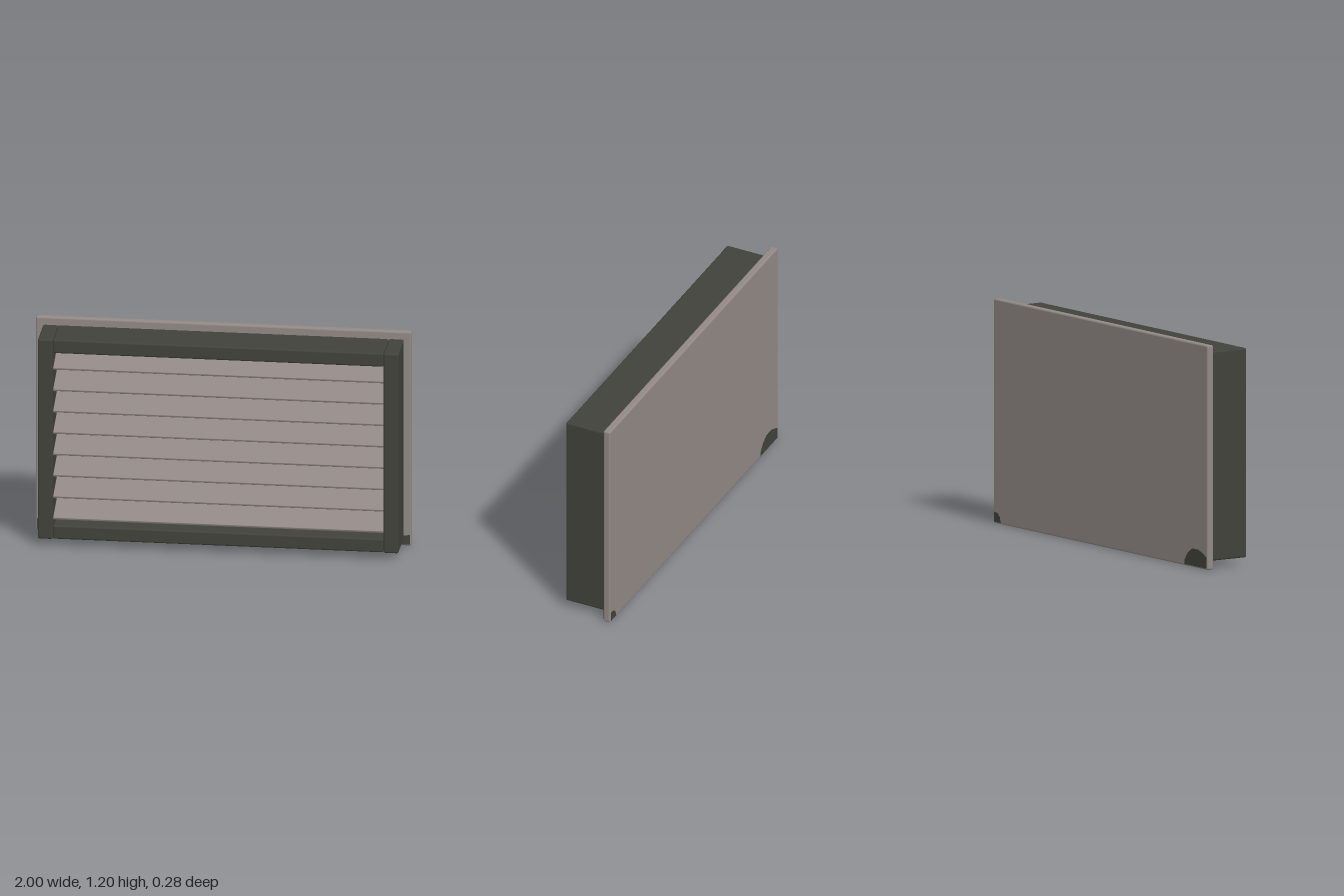
import * as THREE from 'three';
import { RoundedBoxGeometry } from 'three/addons/geometries/RoundedBoxGeometry.js';

export function createModel() {
  const model = new THREE.Group();
  model.name = 'louvredVent';

  const paleMetal = new THREE.MeshStandardMaterial({ color: 0x928985 });
  paleMetal.name = 'paleMetal';
  const darkMetal = new THREE.MeshStandardMaterial({ color: 0x42423b });
  darkMetal.name = 'darkMetal';
  const darkPatch = new THREE.MeshStandardMaterial({ color: 0x42423b, side: THREE.DoubleSide });
  darkPatch.name = 'darkPatch';

  function block(name, size, position, material, radius = 0.01) {
    const mesh = new THREE.Mesh(new RoundedBoxGeometry(...size, 2, radius), material);
    mesh.name = name;
    mesh.position.set(...position);
    model.add(mesh);
    return mesh;
  }

  // Wall plate
  block('backPlate', [2, 1.2, 0.04], [0, 0.6, -0.12], paleMetal);

  // Deep frame: two full-height stiles with rails between them
  for (const side of [-1, 1]) {
    block(side > 0 ? 'leftStile' : 'rightStile', [0.08, 1.12, 0.24], [side * 0.92, 0.6, 0.02], darkMetal);
  }
  block('topRail', [1.76, 0.076, 0.238], [0, 1.122, 0.02], darkMetal);
  block('bottomRail', [1.76, 0.076, 0.238], [0, 0.08, 0.02], darkMetal);

  // Dark sheet seen between the slats
  block('innerPanel', [1.76, 0.95, 0.012], [0, 0.622, -0.094], darkMetal, 0.002);

  // Slats, sloping down towards the front
  for (let i = 0; i < 8; i++) {
    const slat = block('slat', [1.76, 0.013, 0.18], [0, 0.18 + i * 0.12, 0.035], paleMetal, 0.003);
    slat.rotation.x = 0.33;
  }

  // Worn patches in the lower corners, on both faces of the plate
  const wideWear = new THREE.Shape([[-0.992, 0.008], [-0.785, 0.008], [-0.79, 0.035], [-0.82, 0.075],
    [-0.86, 0.1], [-0.92, 0.1], [-0.97, 0.08], [-0.992, 0.068]].map(p => new THREE.Vector2(...p)));
  const smallWear = new THREE.Shape([[0.992, 0.008], [0.992, 0.062], [0.96, 0.058], [0.937, 0.04],
    [0.927, 0.008]].map(p => new THREE.Vector2(...p)));
  for (const shape of [wideWear, smallWear]) {
    for (const z of [-0.0985, -0.1415]) {
      const patch = new THREE.Mesh(new THREE.ShapeGeometry(shape), darkPatch);
      patch.name = 'cornerWear';
      patch.position.z = z;
      model.add(patch);
    }
  }
  return model;
}
